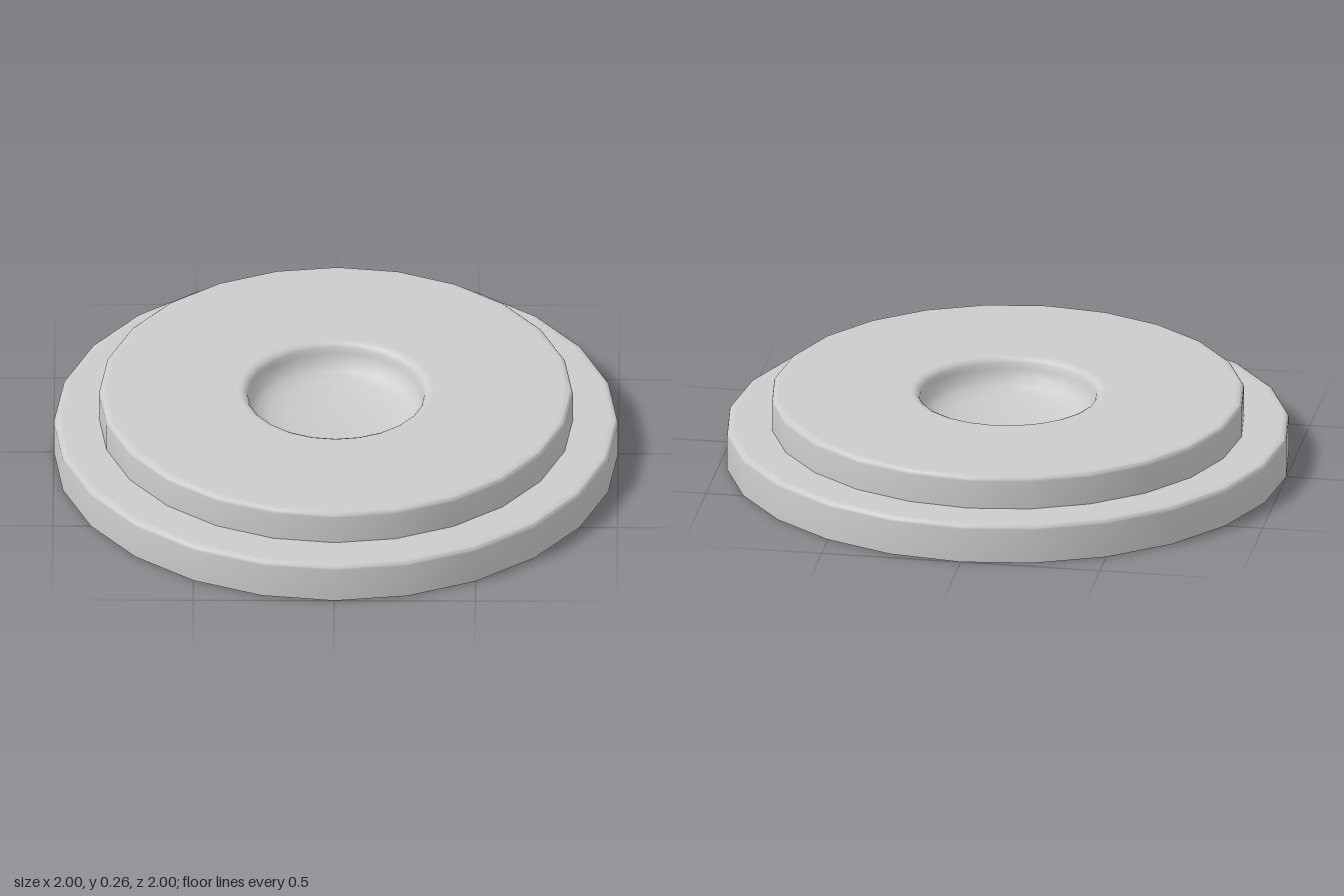
import * as THREE from 'three';
import { toCreasedNormals } from 'three/addons/utils/BufferGeometryUtils.js';

const SIDES = 24;

// Rounded outer edge: quarter arc from the wall up onto the top face
function roundedEdge(radius, top, bevel, steps = 4) {
  const points = [];
  for (let i = 0; i <= steps; i++) {
    const a = (i / steps) * Math.PI / 2;
    points.push([radius - bevel + bevel * Math.cos(a), top - bevel + bevel * Math.sin(a)]);
  }
  points.push([radius - bevel - 0.01, top]); // keeps the flat face flat
  return points;
}

function turned(name, profile, material) {
  const points = profile.map(([r, y]) => new THREE.Vector2(r, y));
  const geometry = toCreasedNormals(new THREE.LatheGeometry(points, SIDES), 0.75);
  const mesh = new THREE.Mesh(geometry, material);
  mesh.name = name;
  return mesh;
}

export function createModel() {
  const model = new THREE.Group();
  model.name = 'steppedDisc';
  const grey = new THREE.MeshStandardMaterial({ color: 0xcccccc });

  // Wide lower disc with a flat underside
  model.add(turned('baseDisc', [
    [0, 0], [1, 0], ...roundedEdge(1, 0.143, 0.018), [0.84, 0.143],
  ], grey));

  // Narrower upper disc, up to the lip of the central hollow
  model.add(turned('upperDisc', [
    [0.84, 0.143], ...roundedEdge(0.84, 0.263, 0.018), [0.345, 0.263],
  ], grey));

  // Round hollow with a softened lip and a shallow curved floor
  model.add(turned('centreHollow', [
    [0.345, 0.263], [0.335, 0.262], [0.322, 0.256], [0.314, 0.244],
    [0.31, 0.225], [0.3, 0.195], [0.278, 0.17], [0.24, 0.152],
    [0.18, 0.139], [0.1, 0.132], [0, 0.13],
  ], grey));

  return model;
}
